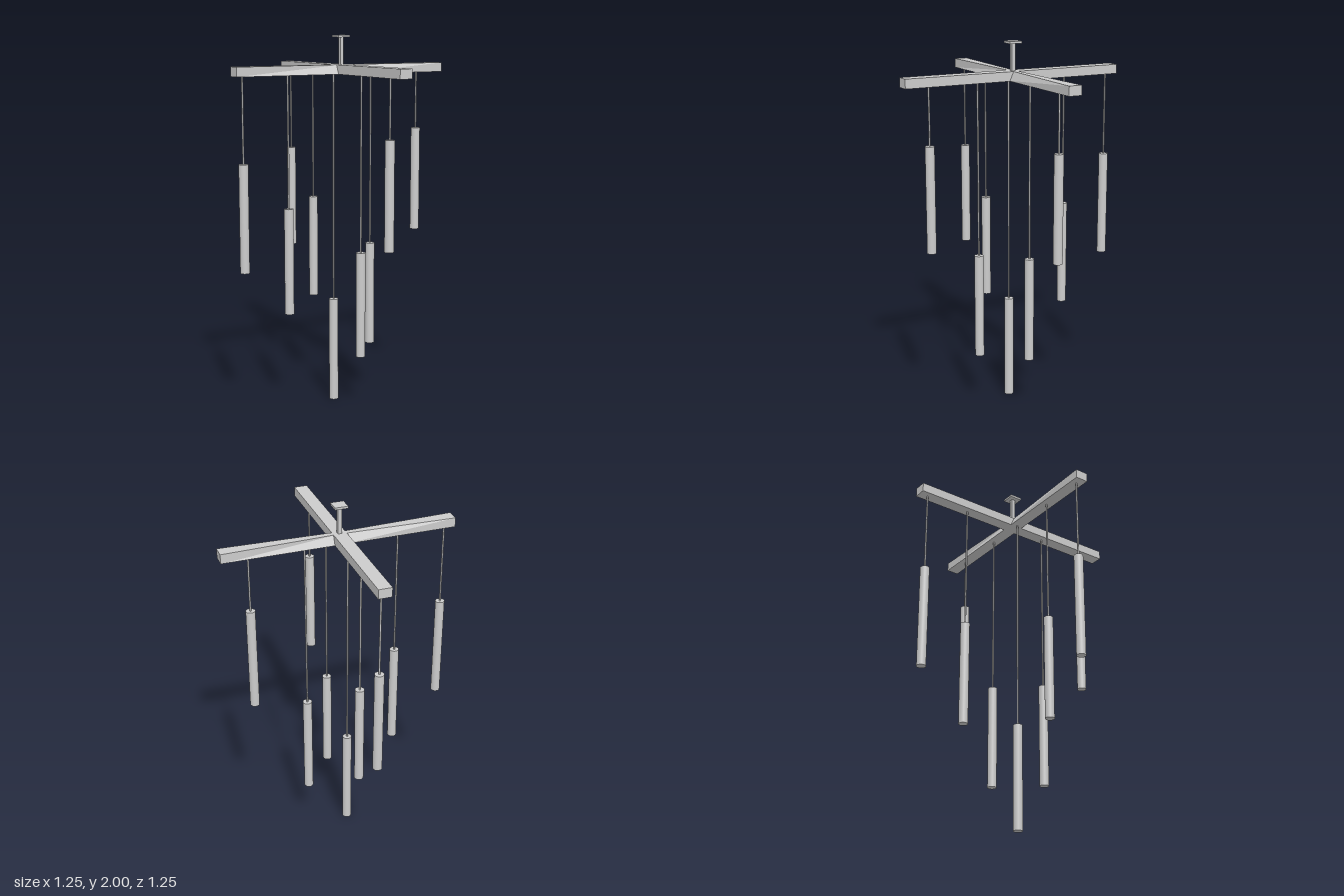
import * as THREE from 'three';

const grey = new THREE.MeshStandardMaterial({ color: 0xcccccc });
const flatGrey = new THREE.MeshStandardMaterial({ color: 0xcccccc, flatShading: true });

const BAR_BOTTOM = 1.795, BAR_TOP = 1.845, BAR_HALF = 0.627, BAR_WIDTH = 0.071;
const SHADE_HEIGHT = 0.572;

function add(parent, name, geometry, material, x, y, z) {
  const mesh = new THREE.Mesh(geometry, material);
  mesh.name = name;
  mesh.position.set(x, y, z);
  parent.add(mesh);
  return mesh;
}

// Cross arm whose upper edge narrows towards the middle
function taperedBar() {
  const geometry = new THREE.BoxGeometry(2 * BAR_HALF, BAR_TOP - BAR_BOTTOM, BAR_WIDTH, 2, 1, 1);
  const p = geometry.attributes.position;
  for (let i = 0; i < p.count; i++) {
    if (p.getY(i) > 0 && Math.abs(p.getX(i)) < 0.01) p.setZ(i, p.getZ(i) * 0.38);
  }
  geometry.computeVertexNormals();
  return geometry;
}

// Thin cable with a long cylindrical shade below it
function pendant(x, z, bottom) {
  const group = new THREE.Group();
  group.name = 'pendant';
  const top = bottom + SHADE_HEIGHT, cableTop = BAR_BOTTOM + 0.01;
  add(group, 'shade', new THREE.CylinderGeometry(0.025, 0.025, SHADE_HEIGHT, 24), grey,
    x, bottom + SHADE_HEIGHT / 2, z);
  add(group, 'cable', new THREE.CylinderGeometry(0.005, 0.005, cableTop - top, 10), grey,
    x, (cableTop + top) / 2, z);
  return group;
}

export function createModel() {
  const model = new THREE.Group();
  model.name = 'pendantChandelier';
  const barY = (BAR_BOTTOM + BAR_TOP) / 2;

  // Crossed bars
  add(model, 'sideBar', taperedBar(), flatGrey, 0, barY, 0);
  add(model, 'frontBar', new THREE.BoxGeometry(BAR_WIDTH, BAR_TOP - BAR_BOTTOM, 2 * BAR_HALF), grey, 0, barY, 0);

  // Ceiling mount
  add(model, 'stem', new THREE.BoxGeometry(0.02, 0.165, 0.022), grey, 0, 1.9125, 0);
  add(model, 'ceilingPlate', new THREE.BoxGeometry(0.07, 0.012, 0.07), grey, 0, 1.994, 0);

  // Pendants: x, z, height of the lower end
  const pendants = [
    [-0.58, 0, 0.776], [-0.32, 0, 0.522], [-0.047, 0, 0], [0.185, 0, 0.29], [0.48, 0, 0.915],
    [0, 0.485, 0.915], [0, 0.208, 0.29], [0, -0.313, 0.522], [0, -0.576, 0.776],
  ];
  for (const [x, z, bottom] of pendants) model.add(pendant(x, z, bottom));

  return model;
}
